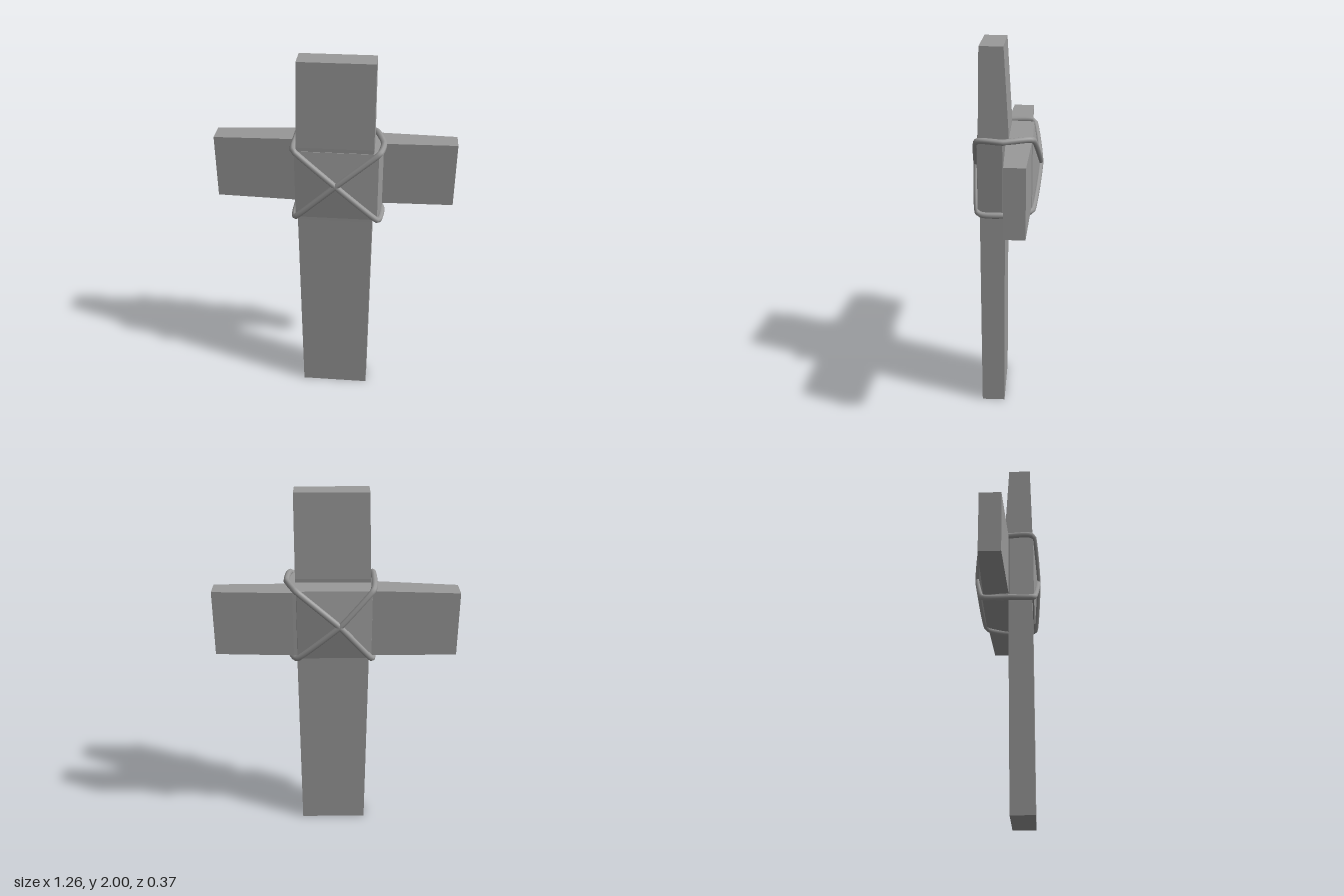
import * as THREE from 'three';

// Closed loft through four-cornered sections, flat shaded
function loft(sections) {
  const pos = [];
  const quad = (a, b, c, d) => [a, b, c, a, c, d].forEach((p) => pos.push(...p));
  for (let i = 0; i < sections.length - 1; i++) {
    const s = sections[i], t = sections[i + 1];
    for (let k = 0; k < 4; k++) {
      const n = (k + 1) % 4;
      quad(s[k], s[n], t[n], t[k]);
    }
  }
  const [a, b, c, d] = sections[0];
  quad(d, c, b, a);
  quad(...sections[sections.length - 1]);
  const geo = new THREE.BufferGeometry();
  geo.setAttribute('position', new THREE.Float32BufferAttribute(pos, 3));
  geo.computeVertexNormals();
  return geo;
}

// Horizontal section of the upright
const level = (y, x0, x1, z0, z1) => [[x0, y, z1], [x1, y, z1], [x1, y, z0], [x0, y, z0]];
// Upright section across the crossbeam
const slice = (x, y0, y1, z0, z1) => [[x, y0, z1], [x, y0, z0], [x, y1, z0], [x, y1, z1]];

export function createModel() {
  const group = new THREE.Group();
  const grey = new THREE.MeshStandardMaterial({ color: 0x999999 });
  const add = (name, geo) => {
    const mesh = new THREE.Mesh(geo, grey);
    mesh.name = name;
    group.add(mesh);
  };

  // Two slightly warped planks, the upright in front
  add('uprightPlank', loft([
    level(0, -0.17, 0.2, 0.015, 0.14),
    level(1.14, -0.18, 0.21, 0.01, 0.14),
    level(1.56, -0.18, 0.21, -0.01, 0.145),
    level(2, -0.17, 0.21, 0.015, 0.135),
  ]));
  add('crossbeam', loft([
    slice(-0.63, 1.18, 1.525, -0.12, -0.005),
    slice(-0.2, 1.18, 1.54, -0.125, 0.012),
    slice(0.22, 1.18, 1.53, -0.125, 0.005),
    slice(0.63, 1.18, 1.53, -0.108, -0.005),
  ]));

  // Lashing corners, counter-clockwise from lower left, for front, middle and back
  const ring = (x0, x1, y0, y1, z) => [[x0, y0, z], [x1, y0, z], [x1, y1, z], [x0, y1, z]];
  const front = ring(-0.19, 0.235, 1.16, 1.54, 0.148);
  const middle = ring(-0.2, 0.255, 1.155, 1.54, 0.02);
  const back = ring(-0.185, 0.2, 1.165, 1.54, -0.13);
  const frontPeak = [0.02, 1.36, 0.17];
  const backPeak = [-0.02, 1.36, -0.168];

  // Wrapped web, rising to a shallow peak on both faces
  const pos = [];
  const tri = (...points) => points.forEach((p) => pos.push(...p));
  for (let k = 0; k < 4; k++) {
    const n = (k + 1) % 4;
    tri(front[k], front[n], frontPeak);
    tri(back[n], back[k], backPeak);
    [[middle, front], [back, middle]].forEach(([s, t]) => {
      tri(s[k], s[n], t[n]);
      tri(s[k], t[n], t[k]);
    });
  }
  const web = new THREE.BufferGeometry();
  web.setAttribute('position', new THREE.Float32BufferAttribute(pos, 3));
  web.computeVertexNormals();
  add('lashingWeb', web);

  // Two cords crossing diagonally and passing round the corners
  [[0, 2], [1, 3]].forEach(([a, b], i) => {
    const path = [front[a], frontPeak, front[b], middle[b], back[b], backPeak, back[a], middle[a]]
      .map((p) => new THREE.Vector3(...p));
    const curve = new THREE.CatmullRomCurve3(path, true, 'catmullrom', 0.2);
    add('lashingCord' + (i + 1), new THREE.TubeGeometry(curve, 96, 0.016, 8, true));
  });
  return group;
}
